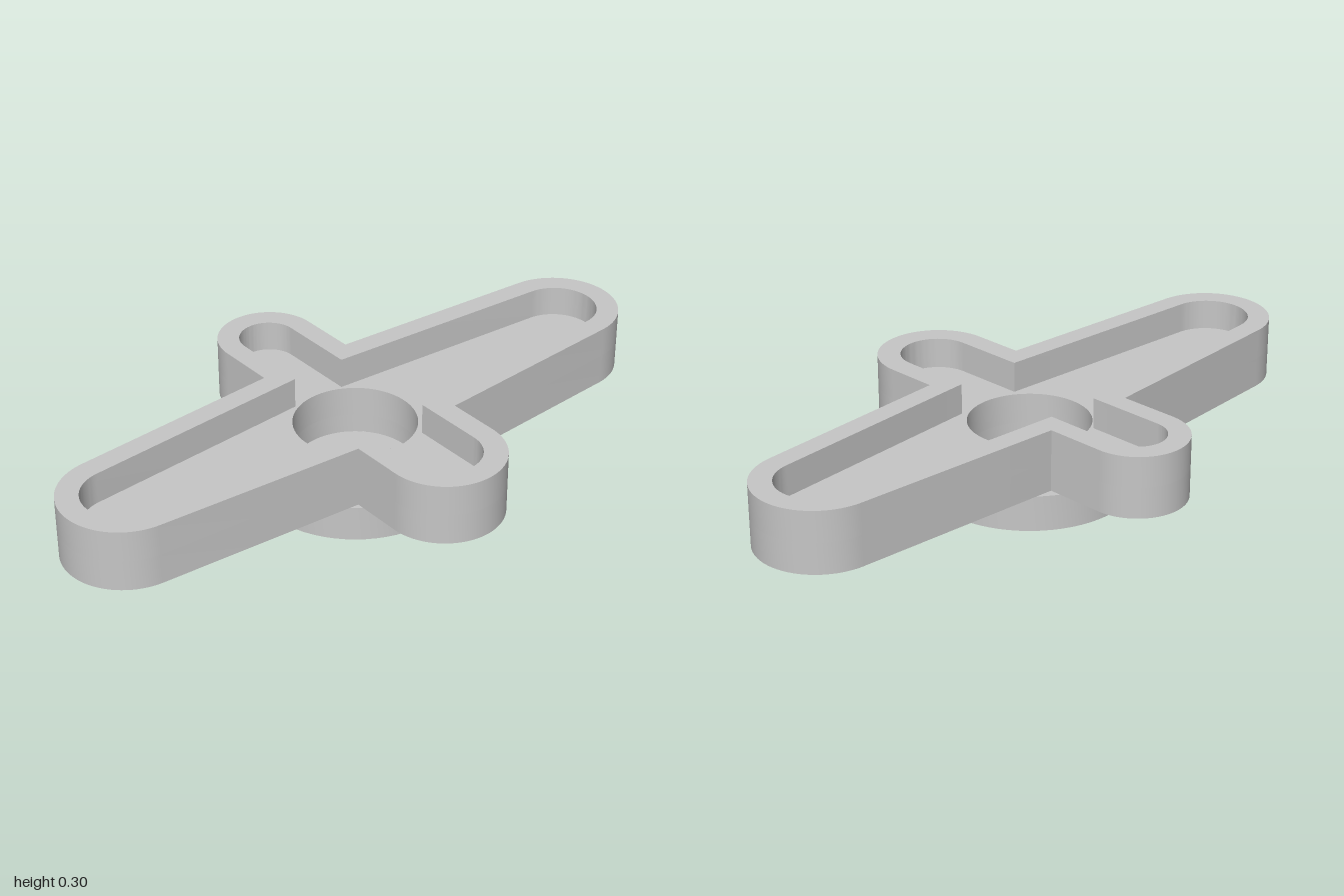
import * as THREE from 'three';
import { toCreasedNormals } from 'three/addons/utils/BufferGeometryUtils.js';

const TOP = 0.30, FLOOR = 0.205, BASE = 0.11; // heights of rim, tray floor and underside
const TILT = 0.07; // taper angle of the long arms
const ARM_X = 0.81, FRONT_Z = 0.395, BACK_Z = -0.42; // centres of the rounded ends

// Cross-shaped outline: two tapered side arms, a wide front lug and a narrow back lug
function crossPoints(armR, frontR, backR) {
  const edge = (x) => armR / Math.cos(TILT) + (ARM_X - x) * Math.tan(TILT);
  const a = Math.PI / 2 - TILT;
  const path = new THREE.Path();
  path.moveTo(frontR, FRONT_Z);
  path.lineTo(frontR, edge(frontR));
  path.absarc(ARM_X, 0, armR, a, -a, true);
  path.lineTo(backR, -edge(backR));
  path.absarc(0, BACK_Z, backR, 0, -Math.PI, true);
  path.lineTo(-backR, -edge(backR));
  path.absarc(-ARM_X, 0, armR, -Math.PI + a, -Math.PI - a, true);
  path.lineTo(-frontR, edge(frontR));
  path.absarc(0, FRONT_Z, frontR, Math.PI, 0, true);
  return path.getPoints(24);
}

// Horizontal slab between two heights, with shape y becoming z
function slab(outline, hole, bottom, top) {
  const shape = new THREE.Shape(outline);
  shape.holes.push(hole);
  const geo = new THREE.ExtrudeGeometry(shape, { depth: top - bottom, bevelEnabled: false, curveSegments: 32 });
  geo.rotateX(Math.PI / 2);
  geo.translate(0, top, 0);
  return toCreasedNormals(geo, 0.5);
}

export function createModel() {
  const group = new THREE.Group();
  const grey = new THREE.MeshStandardMaterial({ color: 0xc6c6c6 });
  grey.name = 'light grey plastic';
  const add = (name, geo) => {
    const mesh = new THREE.Mesh(geo, grey);
    mesh.name = name;
    group.add(mesh);
  };
  const outline = crossPoints(0.19, 0.18, 0.154);

  // Raised rim around the tray; the hole runs opposite to the outline so its walls face inwards
  const tray = new THREE.Path(crossPoints(0.123, 0.11, 0.088).reverse());
  add('rim', slab(outline, tray, FLOOR, TOP));

  // Solid arms with the bore through the middle
  const bore = new THREE.Path().absarc(0, 0, 0.185, 0, Math.PI * 2, false);
  add('armPlate', slab(outline, bore, BASE, FLOOR));

  // Round collar: stepped bore above, shallow recess below
  const profile = [
    [0.138, 0.02], [0.262, 0.02], [0.262, 0], [0.313, 0], [0.313, BASE],
    [0.185, BASE], [0.185, 0.05], [0.138, 0.05], [0.138, 0.02],
  ].map(([r, y]) => new THREE.Vector2(r, y));
  add('collar', toCreasedNormals(new THREE.LatheGeometry(profile, 64), 0.5));

  return group;
}
